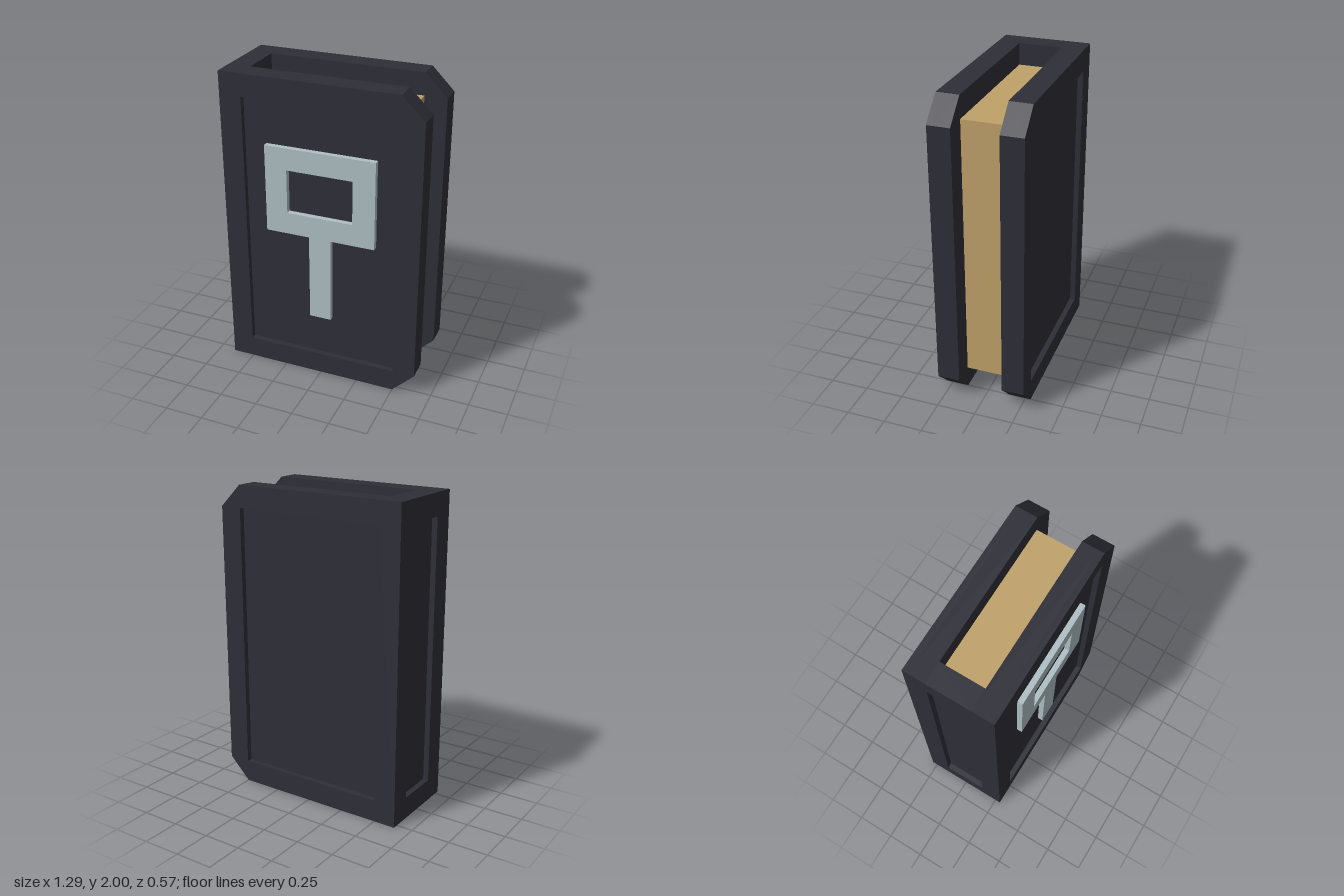
import * as THREE from 'three';

const U = 1 / 7; // thickness of a cover board
const D = U / 4; // depth of the recessed panels

export function createModel() {
  const book = new THREE.Group();
  book.name = 'book';

  const leather = new THREE.MeshStandardMaterial({ color: 0x2e2e38 });
  leather.name = 'dark leather';
  const paper = new THREE.MeshStandardMaterial({ color: 0xbfa26a });
  paper.name = 'paper';
  const silver = new THREE.MeshStandardMaterial({ color: 0xaebfc3 });
  silver.name = 'pale silver';

  const add = (name, geometry, material, x, y, z) => {
    const mesh = new THREE.Mesh(geometry, material);
    mesh.name = name;
    mesh.position.set(x, y, z);
    book.add(mesh);
  };
  const points = (list) => list.map(([x, y]) => new THREE.Vector2(x * U, y * U));
  const rect = (x0, y0, x1, y1) => points([[x0, y0], [x1, y0], [x1, y1], [x0, y1]]);
  const plate = (outline, depth, hole) => {
    const shape = new THREE.Shape(outline);
    if (hole) shape.holes.push(new THREE.Path(hole));
    return new THREE.ExtrudeGeometry(shape, { depth, bevelEnabled: false });
  };

  // Cover boards: a slab with a raised rim, both corners cut at the opening edge
  const outline = points([[-4.5, 0], [3.5, 0], [4.5, 1], [4.5, 13], [3.5, 14], [-4.5, 14]]);
  const slab = plate(outline, U - D);
  const rim = plate(outline, D, rect(-3.5, 1, 3.5, 13));
  add('frontCoverBoard', slab, leather, 0, 0, U);
  add('frontCoverRim', rim, leather, 0, 0, 2 * U - D);
  add('backCoverBoard', slab, leather, 0, 0, -2 * U + D);
  add('backCoverRim', rim, leather, 0, 0, -2 * U);

  // Spine: a sunken panel between two full-depth ends
  add('spinePanel', new THREE.BoxGeometry(U - D, 12 * U, 2 * U), leather, -4 * U + D / 2, 1, 0);
  const spineEnd = new THREE.BoxGeometry(U, U, 2 * U);
  add('spineBottom', spineEnd, leather, -4 * U, U / 2, 0);
  add('spineTop', spineEnd, leather, -4 * U, 2 - U / 2, 0);

  // Page block
  add('pages', new THREE.BoxGeometry(7 * U, 12 * U, 2 * U), paper, 0, 1, 0);

  // Emblem: a square ring on a stem, level with the front rim
  const emblem = points([
    [-0.5, 3], [0.5, 3], [0.5, 7], [2.5, 7], [2.5, 11], [-2.5, 11], [-2.5, 7], [-0.5, 7],
  ]);
  add('frontEmblem', plate(emblem, D, rect(-1.5, 8, 1.5, 10)), silver, 0, 0, 2 * U - D);

  return book;
}
